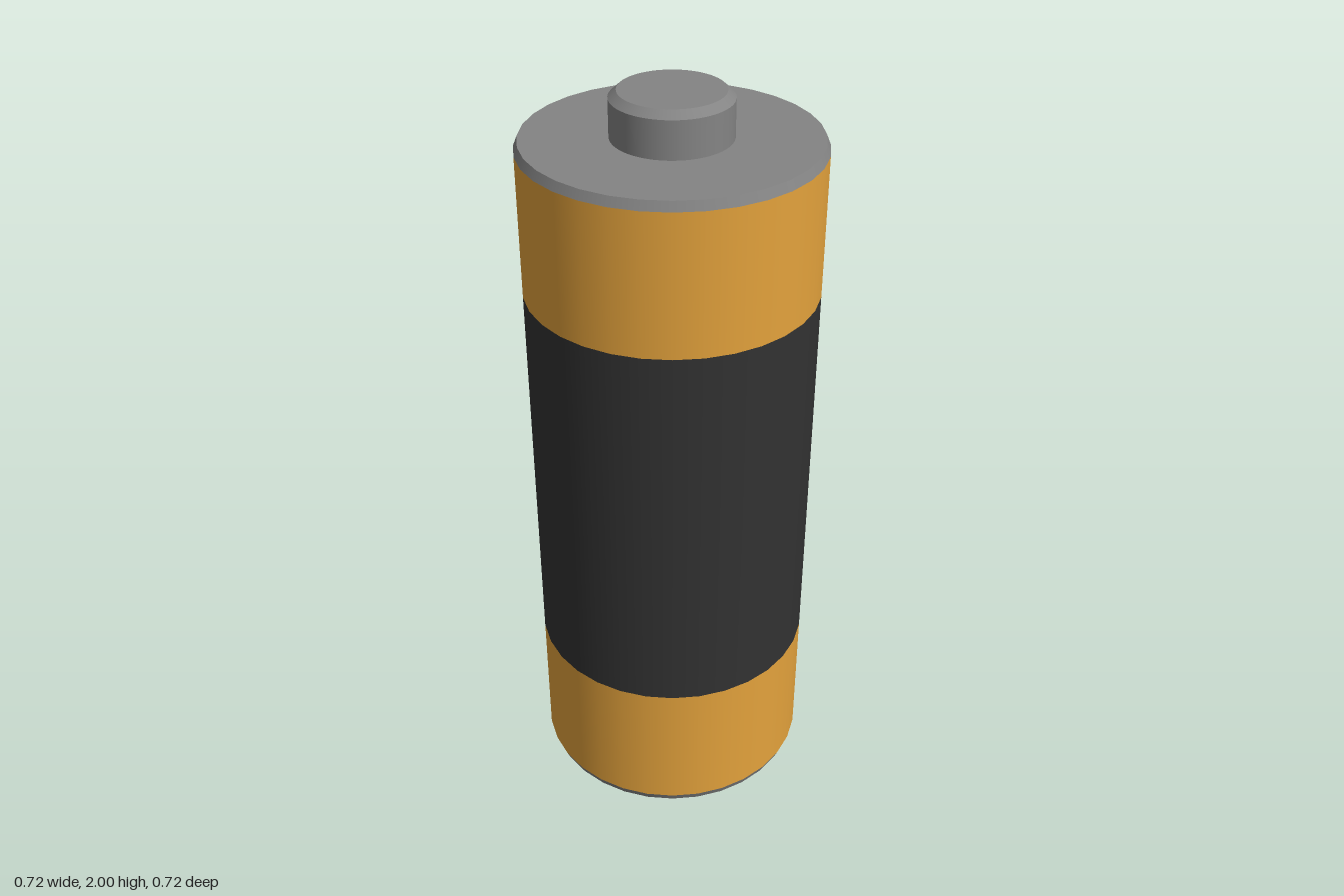
import * as THREE from 'three';

const metal = new THREE.MeshStandardMaterial({ color: 0x848484 });
const gold = new THREE.MeshStandardMaterial({ color: 0xe3a23c });
const black = new THREE.MeshStandardMaterial({ color: 0x323232 });

// open ring wall from (r0, y0) up to (r1, y1), smooth around and sharp at its rims
function band(name, material, r0, y0, r1, y1, sides) {
  const mesh = new THREE.Mesh(new THREE.CylinderGeometry(r1, r0, y1 - y0, sides, 1, true), material);
  mesh.position.y = (y0 + y1) / 2;
  mesh.name = name;
  return mesh;
}

// flat disc facing up
function disc(name, material, radius, y, sides) {
  const mesh = new THREE.Mesh(new THREE.CircleGeometry(radius, sides).rotateX(-Math.PI / 2), material);
  mesh.position.y = y;
  mesh.name = name;
  return mesh;
}

// metal end with bevelled rim and contact stud, heights measured from the centre
function createEnd(name) {
  const end = new THREE.Group();
  end.name = name;
  end.add(
    band('lidBevel', metal, 0.358, 0.87, 0.349, 0.892, 32),
    disc('lid', metal, 0.349, 0.892, 32),
    band('studWall', metal, 0.143, 0.892, 0.143, 0.983, 64),
    band('studBevel', metal, 0.143, 0.983, 0.124, 1, 64),
    disc('studFace', metal, 0.124, 1, 64),
  );
  end.position.y = 1;
  return end;
}

export function createModel() {
  const model = new THREE.Group();
  model.name = 'battery';

  // coloured sleeve
  model.add(
    band('lowerBand', gold, 0.358, 0.13, 0.358, 0.5, 32),
    band('middleBand', black, 0.358, 0.5, 0.358, 1.52, 32),
    band('upperBand', gold, 0.358, 1.52, 0.358, 1.87, 32),
  );

  // matching ends, the lower one turned over
  const bottom = createEnd('bottomEnd');
  bottom.rotation.x = Math.PI;
  model.add(createEnd('topEnd'), bottom);
  return model;
}
